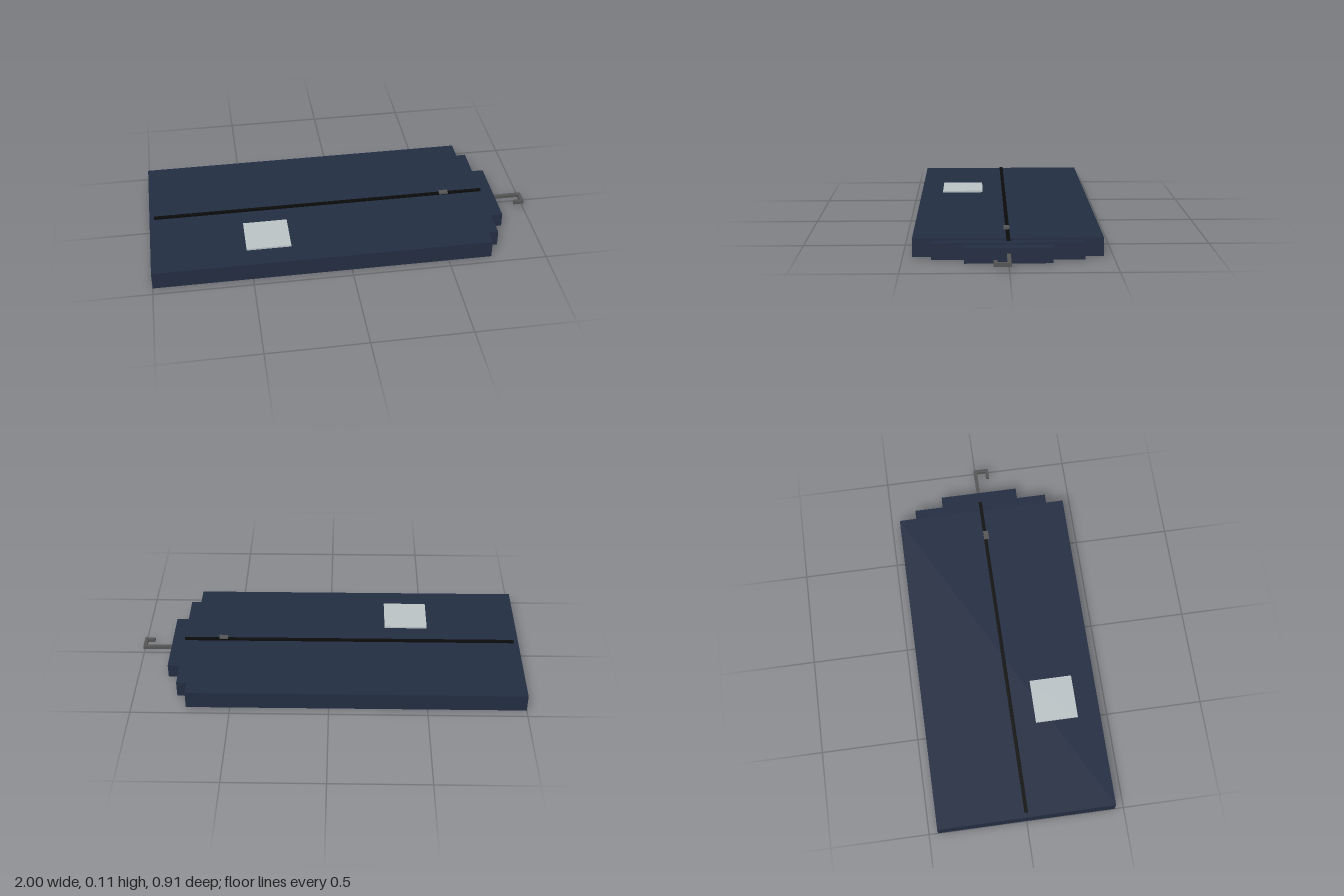
import * as THREE from 'three';

const material = (name, color) => {
  const m = new THREE.MeshStandardMaterial({ color });
  m.name = name;
  return m;
};

export function createModel() {
  const model = new THREE.Group();
  model.name = 'garmentBag';
  const navy = material('navy fabric', 0x232d42);
  const black = material('black zip', 0x0b0b0c);
  const metal = material('grey metal', 0x555555);
  const pale = material('pale window', 0xbac2c5);

  // Box given by its limits along each axis
  const box = (name, mat, [x0, x1], [y0, y1], [z0, z1], parent = model) => {
    const mesh = new THREE.Mesh(new THREE.BoxGeometry(x1 - x0, y1 - y0, z1 - z0), mat);
    mesh.position.set((x0 + x1) / 2, (y0 + y1) / 2, (z0 + z1) / 2);
    mesh.name = name;
    parent.add(mesh);
  };

  // Bag body with stepped shoulders
  box('body', navy, [-1, 0.723], [0, 0.091], [-0.454, 0.454]);
  box('lowerShoulder', navy, [0.723, 0.777], [0, 0.082], [-0.363, 0.363]);
  box('upperShoulder', navy, [0.777, 0.841], [0, 0.074], [-0.208, 0.208]);

  // Zip with its pull
  box('zip', black, [-0.975, 0.773], [0.091, 0.1], [-0.009, 0.009]);
  box('zipPull', metal, [0.543, 0.589], [0.1, 0.109], [-0.009, 0.018]);

  // Clear window
  box('window', pale, [-0.52, -0.293], [0.091, 0.1], [0.118, 0.337]);

  // Hanger hook
  const hook = new THREE.Group();
  hook.name = 'hangerHook';
  model.add(hook);
  const hookY = [0.03, 0.047];
  box('hookStem', metal, [0.841, 1], hookY, [-0.009, 0.009], hook);
  box('hookBend', metal, [0.982, 1], hookY, [0.009, 0.055], hook);
  box('hookTip', metal, [0.945, 1], hookY, [0.055, 0.073], hook);

  return model;
}
